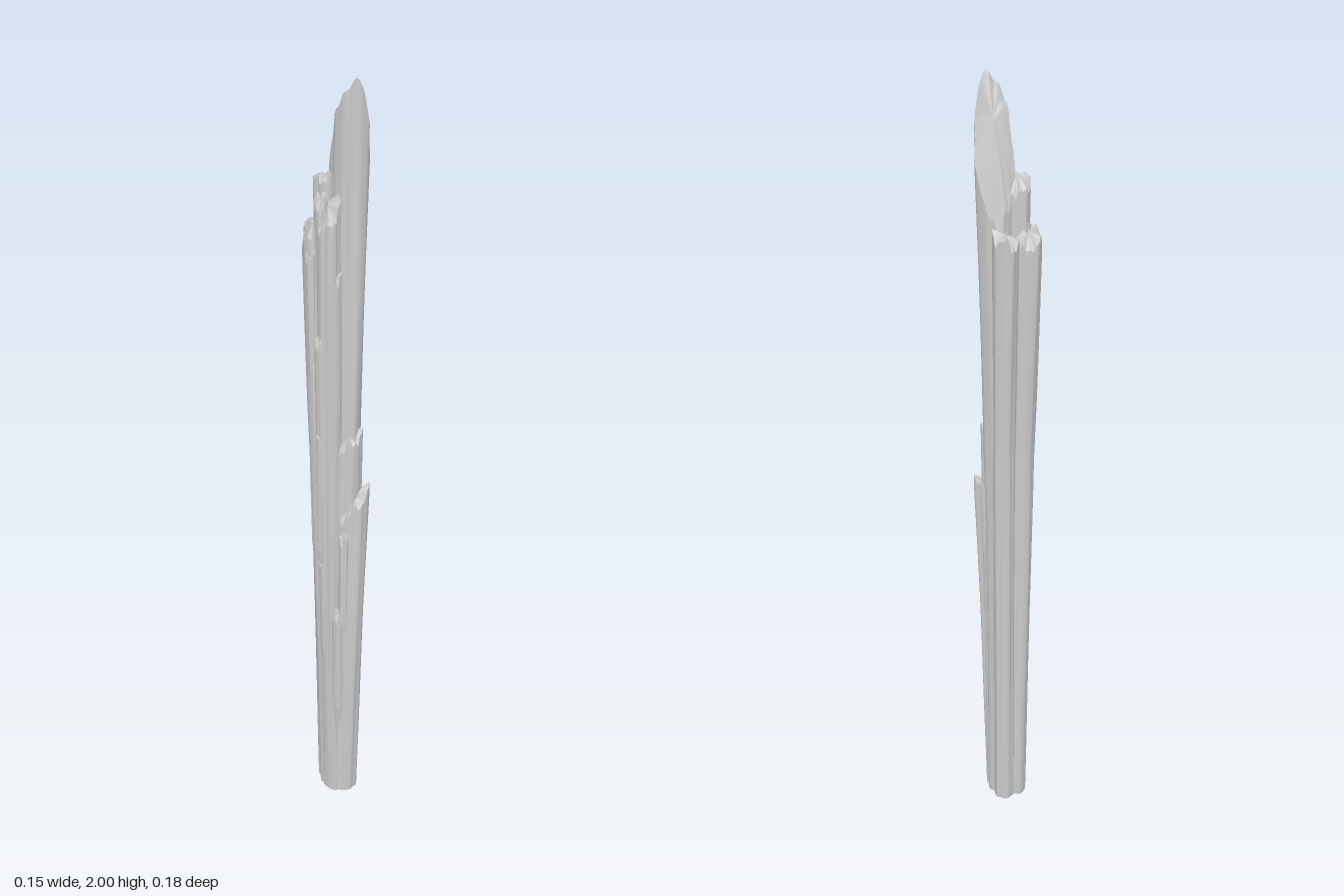
import * as THREE from 'three';

const material = new THREE.MeshStandardMaterial({ color: 0xcccccc, roughness: 0.9, side: THREE.DoubleSide });
const AROUND = 40, UP = 48, CAP = 5;

// Interpolate rows of [y, centreX, centreZ, radiusX, radiusZ] at a height
function sectionAt(rows, y) {
  let i = 0;
  while (i < rows.length - 2 && y > rows[i + 1][0]) i++;
  const a = rows[i], b = rows[i + 1];
  const t = THREE.MathUtils.clamp((y - a[0]) / (b[0] - a[0]), 0, 1);
  return a.map((v, k) => v + (b[k] - v) * t);
}

// Wood strand: fluted sides that follow the rows, cut off by the height rule top(x, z)
function strand(name, rows, top, seed) {
  const pos = [], index = [], y0 = rows[0][0], yEnd = rows[rows.length - 1][0];
  const point = (th, y, s) => {
    const [, cx, cz, rx, rz] = sectionAt(rows, y);
    const flute = 0.95 + 0.05 * Math.sin(5 * th + seed + 0.8 * y)
      + 0.035 * Math.sin(9 * th + seed * 2.3 - 0.6 * y) + 0.02 * Math.sin(3 * th + 7 * y + seed);
    return [cx + Math.cos(th) * rx * flute * s, cz + Math.sin(th) * rz * flute * s];
  };
  const cut = (th, s) => {
    const [x, z] = point(th, yEnd, s);
    return top(x, z) + 0.01 * s * Math.sin(4 * th + seed * 3) + 0.006 * s * Math.sin(11 * th + seed);
  };
  const join = (ringA, ringB) => {
    for (let j = 0; j < AROUND; j++) {
      const n = (j + 1) % AROUND;
      index.push(ringA + j, ringB + j, ringA + n, ringB + j, ringB + n, ringA + n);
    }
  };
  const ring = (fn) => {
    const start = pos.length / 3;
    for (let j = 0; j < AROUND; j++) pos.push(...fn((j / AROUND) * Math.PI * 2));
    return start;
  };

  // Sides
  let previous = -1;
  for (let i = 0; i <= UP; i++) {
    const current = ring((th) => {
      const y = y0 + (cut(th, 1) - y0) * (i / UP);
      const [x, z] = point(th, y, 1);
      return [x, y, z];
    });
    if (i) join(previous, current);
    previous = current;
  }
  // Broken top, with its own rim for a sharp edge
  for (let i = 0; i <= CAP; i++) {
    const s = 1 - i / CAP;
    const current = ring((th) => {
      const y = cut(th, s);
      const [x, z] = point(th, y, s);
      return [x, y, z];
    });
    if (i) join(previous, current);
    previous = current;
  }
  // Flat foot
  const rim = ring((th) => { const [x, z] = point(th, y0, 1); return [x, y0, z]; });
  const middle = ring(() => [rows[0][1], y0, rows[0][2]]);
  join(middle, rim);

  const geometry = new THREE.BufferGeometry();
  geometry.setAttribute('position', new THREE.Float32BufferAttribute(pos, 3));
  geometry.setIndex(index);
  geometry.computeVertexNormals();
  const mesh = new THREE.Mesh(geometry, material);
  mesh.name = name;
  return mesh;
}

export function createModel() {
  const group = new THREE.Group();
  group.name = 'splinteredPost';
  // Broken top falling away from a centre point
  const slope = (y, cx, cz, kx, kz, bow = 12) => (x, z) =>
    y + kx * (x - cx) + kz * (z - cz) - bow * ((x - cx) ** 2 + (z - cz) ** 2);
  const add = (...args) => group.add(strand(...args));

  // Tall spire with a bowed diagonal break
  add('spire', [[0, 0.012, 0.012, 0.034, 0.045], [0.9, 0.014, 0.005, 0.038, 0.052],
    [1.6, 0.024, 0.006, 0.044, 0.051], [1.9, 0.03, 0.006, 0.046, 0.051]],
  (x, z) => 1.995 - 0.35 * Math.max(0, (0.057 - z) / 0.107) ** 1.8
    - 2.6 * Math.max(0, x - 0.03) - 1.2 * Math.max(0, 0.005 - x), 0.6);

  // Back strands
  add('backLeftStrand', [[0, 0.018, -0.019, 0.026, 0.028], [1.1, 0.026, -0.038, 0.028, 0.028],
    [1.65, 0.03, -0.057, 0.032, 0.035]], slope(1.655, 0.03, -0.057, 0.3, 0.2), 1.9);
  add('backRightStrand', [[0, -0.02, -0.018, 0.025, 0.027], [1.1, -0.026, -0.036, 0.03, 0.028],
    [1.65, -0.027, -0.055, 0.035, 0.034]], slope(1.65, -0.027, -0.055, -0.3, 0.4), 3.4);

  // Right side and middle strands
  add('rightStrand', [[0, -0.027, 0.005, 0.024, 0.034], [0.8, -0.038, 0, 0.026, 0.036],
    [1.2, -0.046, -0.01, 0.027, 0.034], [1.65, -0.051, -0.022, 0.026, 0.035]],
  slope(1.66, -0.051, -0.022, 1.6, 0.4), 5.2);
  add('middleStrand', [[0, -0.012, 0, 0.025, 0.03], [1.78, -0.021, -0.016, 0.031, 0.032]],
    slope(1.775, -0.02, -0.016, -0.2, 0.5, 20), 2.7);
  add('frontRightStrand', [[0, -0.022, 0.03, 0.027, 0.033], [0.9, -0.03, 0.025, 0.031, 0.035],
    [1.7, -0.031, 0.022, 0.027, 0.032]], slope(1.71, -0.031, 0.022, 1.5, -0.6), 4.1);

  // Shorter layers peeled off the front
  add('frontInnerLayer', [[0, 0.006, 0.035, 0.034, 0.03], [0.9, 0.01, 0.04, 0.036, 0.03],
    [1.12, 0.012, 0.042, 0.036, 0.028]], slope(1.125, 0.012, 0.042, 0.5, -0.4), 0.2);
  add('frontOuterLayer', [[0, 0.004, 0.047, 0.034, 0.026], [0.6, 0.012, 0.06, 0.036, 0.029],
    [0.95, 0.022, 0.058, 0.039, 0.031]], slope(0.955, 0.022, 0.058, 1.1, -0.2), 6.3);

  // Thin slivers: [bottom y, top y, x, z, radius]
  [[0.05, 0.42, -0.042, 0.022, 0.014], [0.3, 0.78, -0.046, 0.03, 0.016],
    [0.1, 0.62, -0.024, 0.064, 0.016], [0.55, 1.15, -0.05, 0.026, 0.017],
    [0.4, 0.86, -0.012, 0.074, 0.013], [0.85, 1.4, -0.052, 0.026, 0.016],
    [0.95, 1.55, -0.024, 0.05, 0.013], [1.1, 1.6, -0.066, 0, 0.012],
    [1.2, 1.73, -0.045, 0.012, 0.016], [0.6, 1.1, -0.054, -0.012, 0.014],
  ].forEach(([y0, y1, x, z, r], i) => add('sliver' + (i + 1),
    [[y0, x * 0.75, z * 0.75, r * 0.2, r * 0.2], [y0 + (y1 - y0) * 0.4, x * 0.95, z * 0.95, r * 0.9, r * 0.9],
      [y1, x, z, r, r]], slope(y1, x, z, 1.2, -0.8, 30), i * 1.7));

  return group;
}
